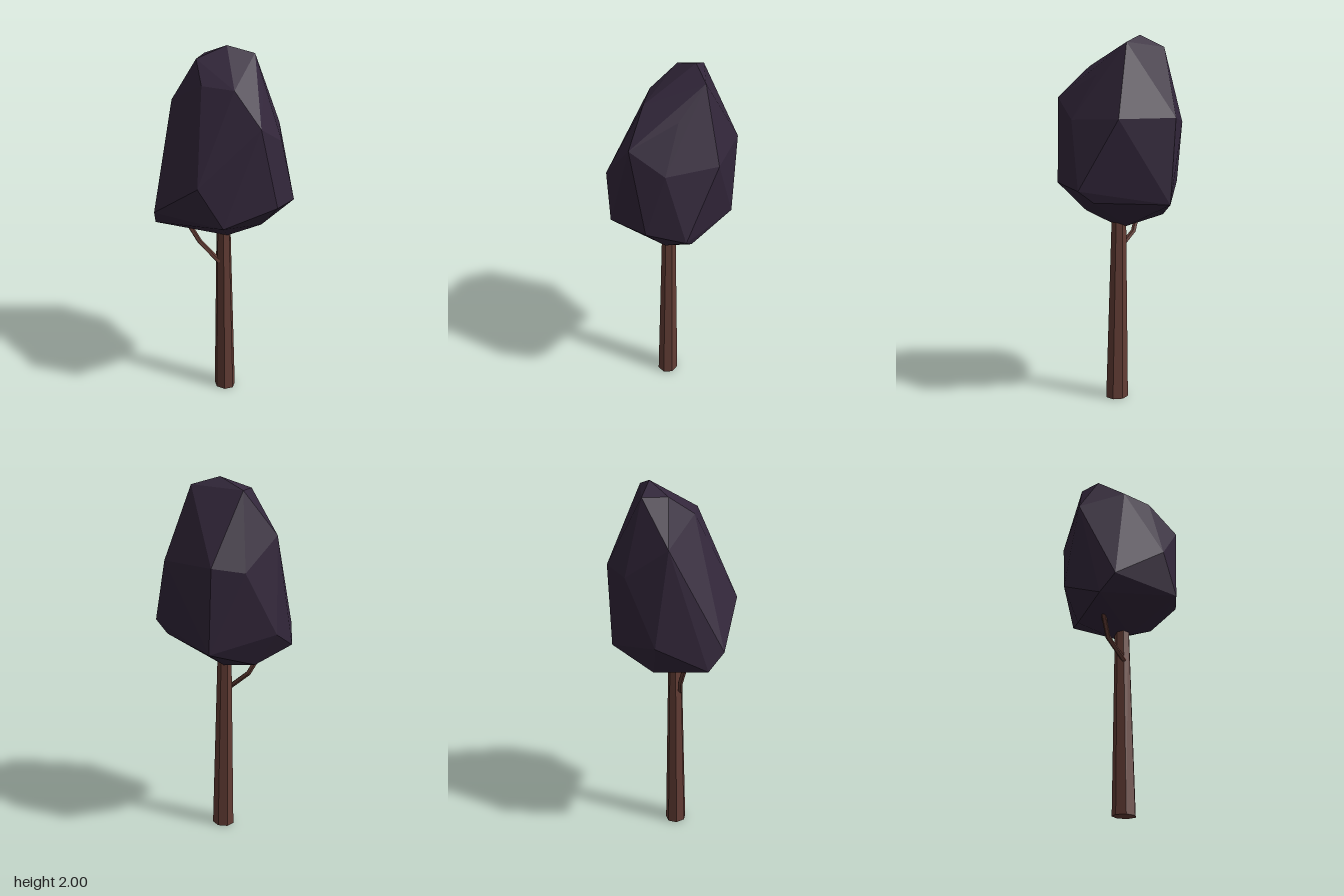
import * as THREE from 'three';
import { ConvexGeometry } from 'three/addons/geometries/ConvexGeometry.js';

const bark = new THREE.MeshStandardMaterial({ color: 0x633d35, flatShading: true });
bark.name = 'brown bark';
const leaves = new THREE.MeshStandardMaterial({ color: 0x32263a, flatShading: true });
leaves.name = 'dark purple leaves';

function addMesh(group, name, geometry, material) {
  const mesh = new THREE.Mesh(geometry, material);
  mesh.name = name;
  group.add(mesh);
  return mesh;
}

export function createModel() {
  const tree = new THREE.Group();
  tree.name = 'tree';

  // Tapered, slightly leaning trunk
  const height = 1.08;
  const trunk = new THREE.CylinderGeometry(0.04, 0.064, height, 7);
  trunk.rotateY(Math.PI / 2);
  trunk.scale(1, 1, 0.9);
  trunk.translate(0, height / 2, -0.011);
  const p = trunk.attributes.position;
  for (let i = 0; i < p.count; i++) {
    p.setX(i, p.getX(i) + 0.012 * (1 - p.getY(i) / height));
  }
  trunk.computeVertexNormals();
  addMesh(tree, 'trunk', trunk, bark);

  // Bent side branch reaching into the crown
  const bend = new THREE.CatmullRomCurve3([
    new THREE.Vector3(0, 0.83, 0.02),
    new THREE.Vector3(-0.115, 0.935, 0.06),
    new THREE.Vector3(-0.17, 1.07, 0.11),
  ]);
  addMesh(tree, 'branch', new THREE.TubeGeometry(bend, 2, 0.014, 5), bark);

  // Faceted crown, from underside to tip
  const corners = [
    // underside
    [-0.03, 0.985, -0.05], [0.04, 1.0, 0], [-0.25, 1.035, -0.04], [0.21, 1.09, -0.08],
    [-0.176, 1.13, -0.305], [0.22, 1.15, -0.23], [-0.25, 1.08, 0.26],
    // widest ring
    [-0.19, 1.175, 0.325], [-0.355, 1.21, 0.01], [0.215, 1.17, 0.23],
    [0.352, 1.24, -0.035], [0.305, 1.215, -0.235], [0.105, 1.38, 0.302],
    // upper ring
    [0.12, 1.58, -0.328], [-0.2, 1.58, -0.31], [-0.3, 1.55, -0.17],
    [0.3, 1.57, -0.12], [0.315, 1.68, 0.065], [-0.3, 1.71, 0.065],
    // tip
    [0.165, 1.8, -0.13], [0.14, 1.84, 0.065], [-0.04, 1.84, 0.11],
    [-0.165, 1.94, 0.015], [-0.22, 1.94, -0.105], [0.035, 1.96, -0.215], [-0.075, 2, -0.12],
  ].map((c) => new THREE.Vector3(...c));
  addMesh(tree, 'crown', new ConvexGeometry(corners), leaves);

  return tree;
}
